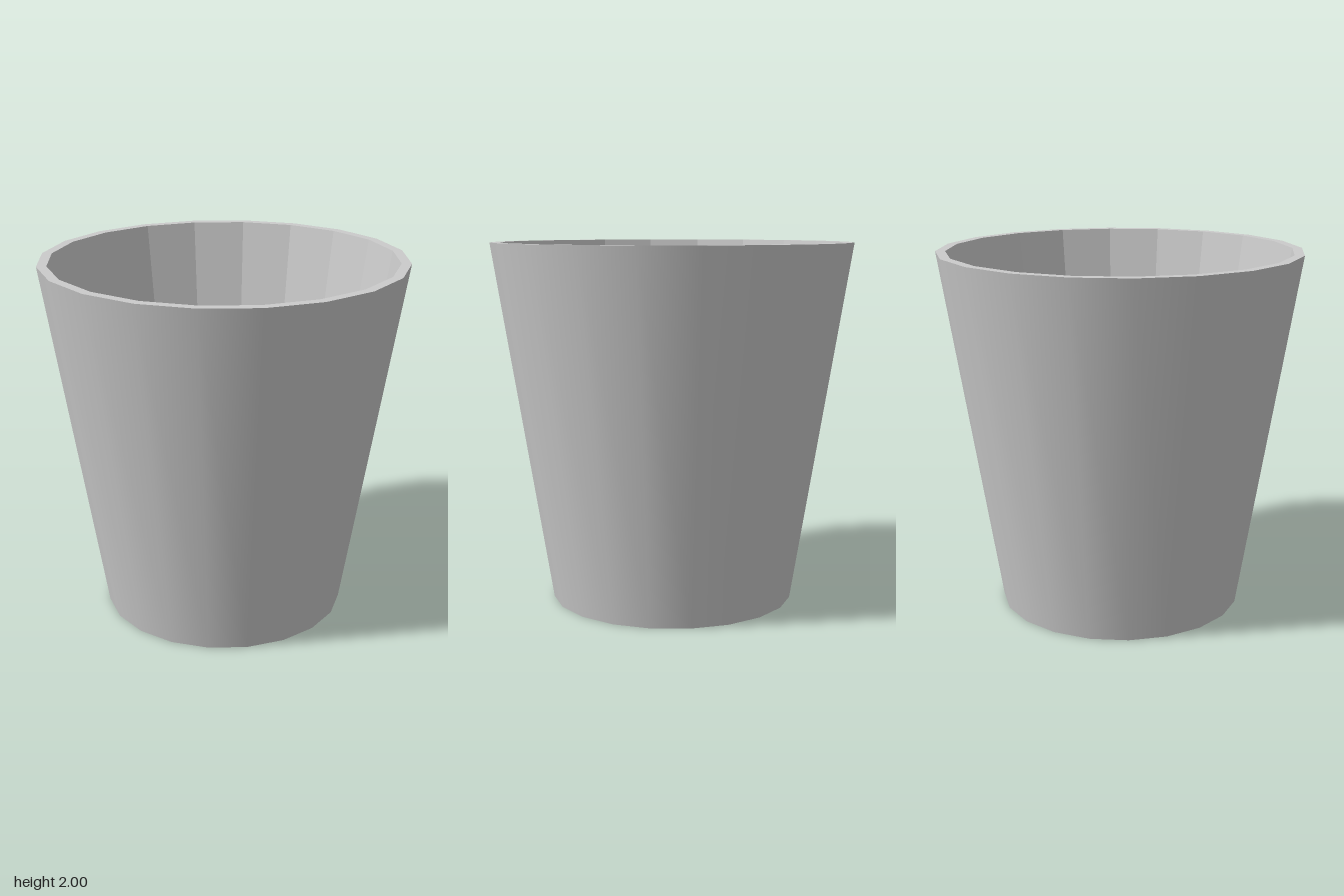
import * as THREE from 'three';

const SIDES = 20;

// Surface of revolution from [radius, height] pairs, facing right of travel
function lathe(name, profile, flatShading) {
  const points = profile.map(([r, y]) => new THREE.Vector2(r, y));
  const material = new THREE.MeshStandardMaterial({ color: 0xcccccc, flatShading });
  const mesh = new THREE.Mesh(new THREE.LatheGeometry(points, SIDES), material);
  mesh.name = name;
  return mesh;
}

export function createModel() {
  const group = new THREE.Group();
  group.name = 'cup';

  const bottomRadius = 0.677, topRadius = 1, height = 2;
  const innerTop = 0.946, innerFloor = 0.637, floorHeight = 0.08;

  group.add(
    // Smooth tapered outside
    lathe('outerWall', [[bottomRadius, 0], [topRadius, height]], false),
    // Flat underside
    lathe('base', [[0, 0], [bottomRadius, 0]], true),
    // Flat ring joining both walls
    lathe('rim', [[topRadius, height], [innerTop, height]], true),
    // Faceted inside and its floor
    lathe('innerWall', [[innerTop, height], [innerFloor, floorHeight]], true),
    lathe('floor', [[innerFloor, floorHeight], [0, floorHeight]], true),
  );
  return group;
}
